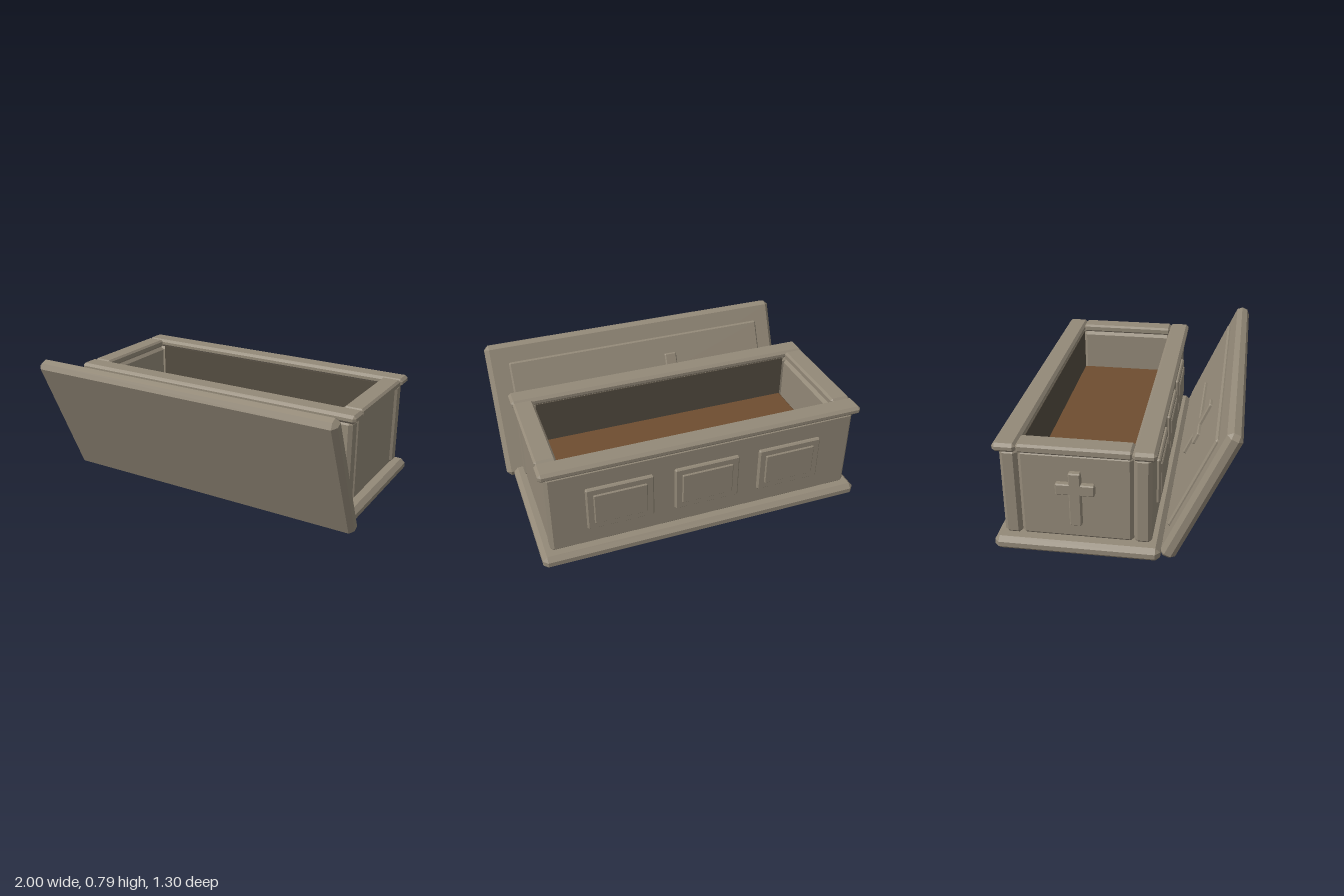
import * as THREE from 'three';
import { ConvexGeometry } from 'three/addons/geometries/ConvexGeometry.js';

// Box with every edge chamfered by c
function chamferBox(w, h, d, c) {
  const x = w / 2, y = h / 2, z = d / 2, pts = [];
  for (const sx of [-1, 1]) for (const sy of [-1, 1]) for (const sz of [-1, 1]) {
    pts.push(
      new THREE.Vector3(sx * x, sy * (y - c), sz * (z - c)),
      new THREE.Vector3(sx * (x - c), sy * y, sz * (z - c)),
      new THREE.Vector3(sx * (x - c), sy * (y - c), sz * z));
  }
  return new ConvexGeometry(pts);
}

export function createModel() {
  const stone = new THREE.MeshStandardMaterial({ color: 0x938978 });
  stone.name = 'stone';
  const wood = new THREE.MeshStandardMaterial({ color: 0x6e4d30 });
  wood.name = 'wood';
  const dark = new THREE.MeshStandardMaterial({ color: 0x544c40 });
  dark.name = 'darkStone';

  const model = new THREE.Group();
  model.name = 'stoneChest';

  const add = (parent, name, size, pos, bevel, material = stone) => {
    const geo = bevel ? chamferBox(...size, bevel) : new THREE.BoxGeometry(...size);
    const mesh = new THREE.Mesh(geo, material);
    mesh.name = name;
    mesh.position.set(...pos);
    parent.add(mesh);
    return mesh;
  };

  // Chest body, centred on its own footprint
  const chest = new THREE.Group();
  chest.name = 'chest';
  chest.position.set(-0.02, 0, -0.202);
  model.add(chest);

  add(chest, 'base', [1.96, 0.08, 0.906], [0, 0.06, 0], 0.026);
  add(chest, 'floor', [1.64, 0.28, 0.62], [0, 0.22, 0], 0.012, wood);

  for (const s of [1, -1]) {
    const side = s > 0 ? 'front' : 'back';
    // Long wall, its inner lining and the rim rail above
    add(chest, side + 'Wall', [1.85, 0.52, 0.096], [0, 0.36, s * 0.355], 0.02);
    add(chest, side + 'Lining', [1.63, 0.27, 0.006], [0, 0.49, s * 0.304], 0, dark);
    add(chest, side + 'RimRail', [1.91, 0.05, 0.127], [0, 0.643, s * 0.3665], 0.016);
    // Three stepped panels
    for (const i of [-1, 0, 1]) {
      add(chest, side + 'Panel', [0.39, 0.28, 0.04], [i * 0.515, 0.36, s * 0.402], 0.008);
      add(chest, side + 'PanelCentre', [0.31, 0.2, 0.03], [i * 0.515, 0.36, s * 0.415], 0.006);
    }
    // End wall and rim rail
    const end = s > 0 ? 'left' : 'right';
    add(chest, end + 'EndWall', [0.1, 0.52, 0.614], [s * 0.87, 0.36, 0], 0.02);
    add(chest, end + 'RimRail', [0.12, 0.05, 0.61], [s * 0.888, 0.643, 0], 0.012);
  }

  // Cross on the right end
  add(chest, 'endCrossUpright', [0.04, 0.32, 0.065], [-0.932, 0.36, 0], 0.006);
  add(chest, 'endCrossArm', [0.04, 0.065, 0.21], [-0.932, 0.42, 0], 0.006);

  // Lid leaning away from the front; its inner face is local -z
  const lid = new THREE.Group();
  lid.name = 'lid';
  lid.position.set(0.025, 0.402, 0.447);
  lid.rotation.x = THREE.MathUtils.degToRad(24);
  model.add(lid);
  add(lid, 'lidSlab', [1.95, 0.845, 0.09], [0, 0, 0], 0.026);
  add(lid, 'lidPanel', [1.7, 0.6, 0.04], [-0.005, 0, -0.043], 0.01);
  add(lid, 'lidCrossUpright', [0.725, 0.08, 0.04], [-0.003, 0, -0.063], 0.007);
  add(lid, 'lidCrossArm', [0.08, 0.37, 0.04], [-0.21, 0, -0.063], 0.007);

  return model;
}
